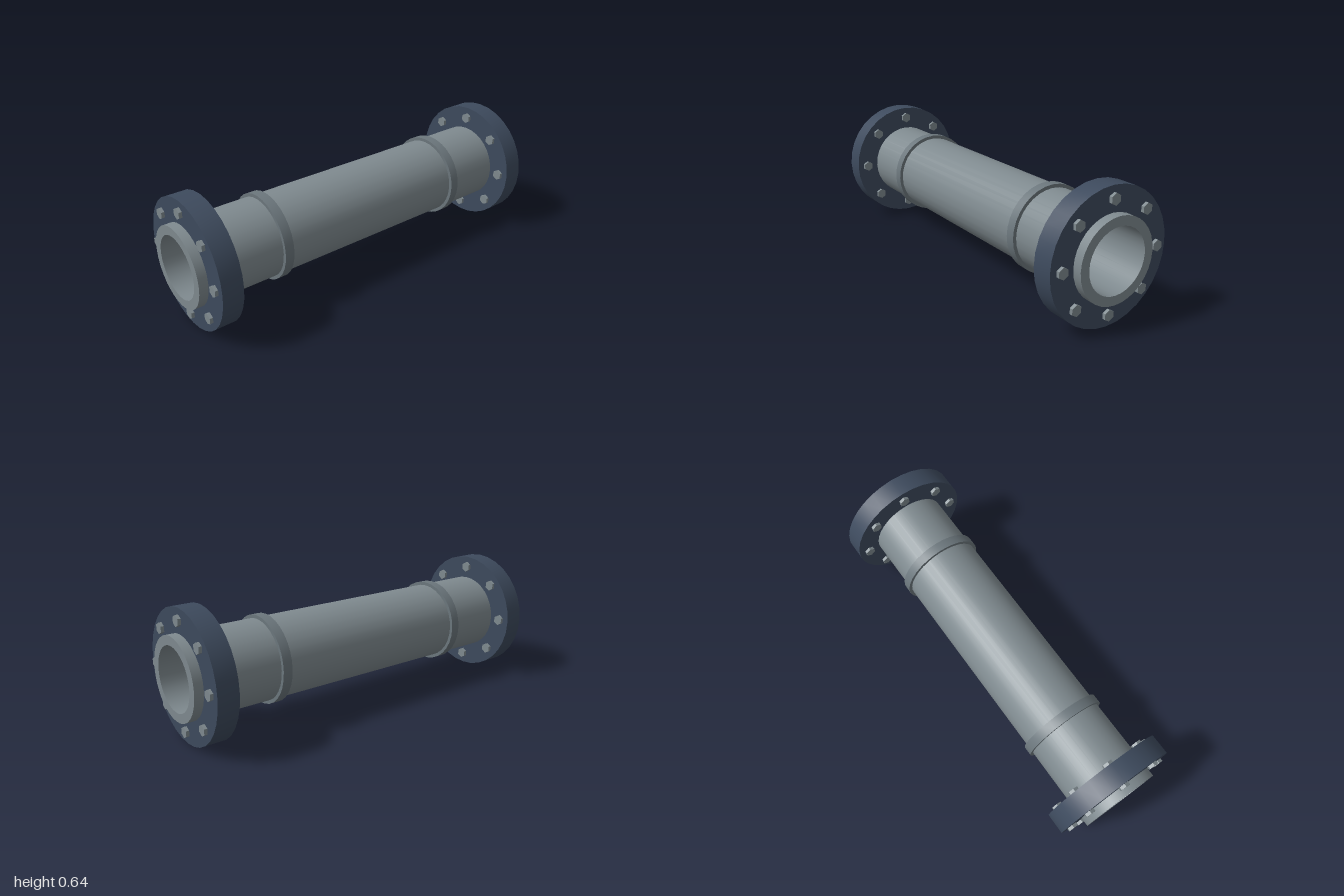
import * as THREE from 'three';
import { toCreasedNormals } from 'three/addons/utils/BufferGeometryUtils.js';

const SIDES = 32;
const AXIS_Y = 0.322;
const pipeMat = new THREE.MeshStandardMaterial({ color: 0x7f8a8f });
const flangeMat = new THREE.MeshStandardMaterial({ color: 0x3d4a5d });
const bandMat = new THREE.MeshStandardMaterial({ color: 0x6c777d });
const boltMat = new THREE.MeshStandardMaterial({ color: 0x7f8a8f, flatShading: true });

// Hollow ring along z, with smooth walls and sharp rims
function ring(inner, outer, length) {
  const h = length / 2;
  const profile = [[inner, -h], [outer, -h], [outer, h], [inner, h], [inner, -h]]
    .map(([r, y]) => new THREE.Vector2(r, y));
  const geometry = new THREE.LatheGeometry(profile, SIDES).rotateX(Math.PI / 2);
  return toCreasedNormals(geometry, 0.5);
}

function add(parent, name, geometry, material, x = 0, y = 0, z = 0) {
  const mesh = new THREE.Mesh(geometry, material);
  mesh.name = name;
  mesh.position.set(x, y, z);
  parent.add(mesh);
}

export function createModel() {
  const model = new THREE.Group();
  model.name = 'flangedPipe';

  const body = new THREE.Group();
  body.name = 'pipeAssembly';
  body.position.y = AXIS_Y;
  model.add(body);

  // Open pipe
  add(body, 'pipe', ring(0.155, 0.2, 2), pipeMat);

  const flangeGeo = ring(0.19, 0.32, 0.104);
  const bandGeo = ring(0.19, 0.217, 0.048);
  const boltGeo = new THREE.CylinderGeometry(0.0275, 0.0275, 0.136, 6).rotateX(Math.PI / 2);

  for (const [end, side] of [['front', 1], ['back', -1]]) {
    // Weld band and flange at each end
    add(body, `${end}Band`, bandGeo, bandMat, 0, 0, side * 0.542);
    add(body, `${end}Flange`, flangeGeo, flangeMat, 0, 0, side * 0.903);

    // Hexagonal bolts, passing through the flange
    const bolts = new THREE.Group();
    bolts.name = `${end}Bolts`;
    for (let i = 0; i < 8; i++) {
      const a = (i / 8) * Math.PI * 2;
      add(bolts, 'bolt', boltGeo, boltMat, Math.cos(a) * 0.262, Math.sin(a) * 0.262, side * 0.903);
    }
    body.add(bolts);
  }
  return model;
}
